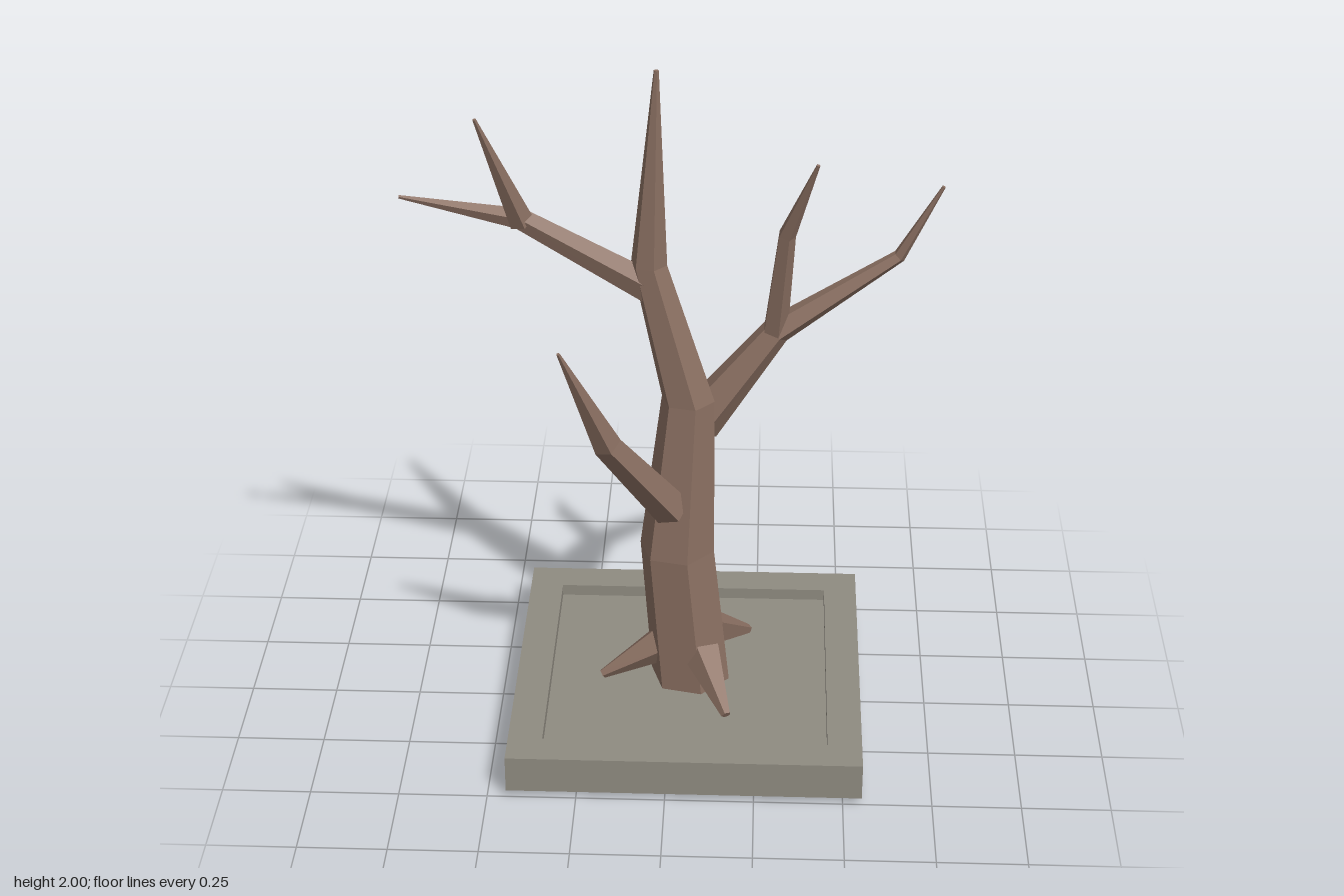
import * as THREE from 'three';

// Faceted limb: rings of [x, y, z, radius] joined by flat faces and capped at both ends.
function limbGeometry(nodes, sides, turn, level) {
  const centres = nodes.map(n => new THREE.Vector3(n[0], n[1], n[2]));
  const rings = nodes.map((n, i) => {
    const before = centres[Math.max(i - 1, 0)];
    const after = centres[Math.min(i + 1, nodes.length - 1)];
    const dir = level ? new THREE.Vector3(0, 1, 0) : after.clone().sub(before).normalize();
    const q = new THREE.Quaternion().setFromUnitVectors(new THREE.Vector3(0, 1, 0), dir);
    return Array.from({ length: sides }, (_, k) => {
      const a = turn + (k / sides) * Math.PI * 2;
      return new THREE.Vector3(Math.sin(a) * n[3], 0, Math.cos(a) * n[3])
        .applyQuaternion(q).add(centres[i]);
    });
  });
  const points = [];
  const last = rings.length - 1;
  for (let k = 0; k < sides; k++) {
    const m = (k + 1) % sides;
    for (let i = 0; i < last; i++) {
      const [a, b, c, d] = [rings[i][k], rings[i][m], rings[i + 1][m], rings[i + 1][k]];
      points.push(a, b, c, a, c, d);
    }
    points.push(centres[0], rings[0][m], rings[0][k]);
    points.push(centres[last], rings[last][k], rings[last][m]);
  }
  const geometry = new THREE.BufferGeometry().setFromPoints(points);
  geometry.computeVertexNormals();
  return geometry;
}

function rectangle(PathType, w, d) {
  const p = new PathType();
  p.moveTo(-w / 2, -d / 2);
  p.lineTo(w / 2, -d / 2);
  p.lineTo(w / 2, d / 2);
  p.lineTo(-w / 2, d / 2);
  p.closePath();
  return p;
}

export function createModel() {
  const bark = new THREE.MeshStandardMaterial({ color: 0x8b7062 });
  bark.name = 'bark';
  const stone = new THREE.MeshStandardMaterial({ color: 0x8f8b81 });
  stone.name = 'stone';

  const model = new THREE.Group();
  model.name = 'bareTree';
  const add = (name, geometry, material, parent) => {
    const mesh = new THREE.Mesh(geometry, material);
    mesh.name = name;
    parent.add(mesh);
    return mesh;
  };

  // Square plinth: foot, slab and raised rim around a sunken floor
  const plinth = new THREE.Group();
  plinth.name = 'plinth';
  plinth.position.x = 0.053;
  model.add(plinth);
  add('foot', new THREE.BoxGeometry(0.875, 0.03, 0.875), stone, plinth).position.y = 0.015;
  add('floor', new THREE.BoxGeometry(0.9, 0.075, 0.9), stone, plinth).position.y = 0.0585;
  const rimShape = rectangle(THREE.Shape, 1, 1);
  rimShape.holes.push(rectangle(THREE.Path, 0.805, 0.805));
  const rim = new THREE.ExtrudeGeometry(rimShape, { depth: 0.11, bevelEnabled: false });
  rim.rotateX(-Math.PI / 2);
  add('rim', rim, stone, plinth).position.y = 0.021;

  // Six-sided trunk with a bend at each ring
  const trunk = [
    [0.058, 0.085, 0.006, 0.117],
    [0.018, 0.54, 0.017, 0.109],
    [0.048, 1.02, 0.01, 0.076],
    [-0.06, 1.43, 0.0, 0.051],
    [-0.038, 2.0, 0.025, 0.007],
  ];
  add('trunk', limbGeometry(trunk, 6, 0.3, true), bark, model);

  // Branches, twigs and roots
  const limbs = {
    frontBranch: [[0.005, 0.7, 0.07, 0.058], [-0.168, 0.985, 0.215, 0.042], [-0.285, 1.325, 0.34, 0.005]],
    rightBranch: [[-0.06, 1.36, 0, 0.046], [-0.41, 1.56, 0, 0.031], [-0.735, 1.617, 0, 0.005]],
    rightTwig: [[-0.405, 1.55, 0, 0.036], [-0.51, 1.89, 0.11, 0.005]],
    leftBranch: [[0.07, 0.92, -0.03, 0.07], [0.29, 1.215, -0.035, 0.042],
      [0.62, 1.44, -0.05, 0.019], [0.73, 1.66, -0.025, 0.005]],
    leftTwig: [[0.285, 1.215, -0.03, 0.036], [0.312, 1.535, 0.03, 0.025], [0.39, 1.775, 0.11, 0.005]],
    frontRoot: [[0.095, 0.215, 0.08, 0.058], [0.167, 0.115, 0.245, 0.014]],
    backRoot: [[0.105, 0.215, -0.06, 0.058], [0.225, 0.115, -0.205, 0.014]],
    rightRoot: [[-0.02, 0.215, 0.02, 0.058], [-0.2, 0.115, 0.05, 0.014]],
  };
  for (const [name, nodes] of Object.entries(limbs)) {
    add(name, limbGeometry(nodes, 5, 0.3, false), bark, model);
  }
  return model;
}
